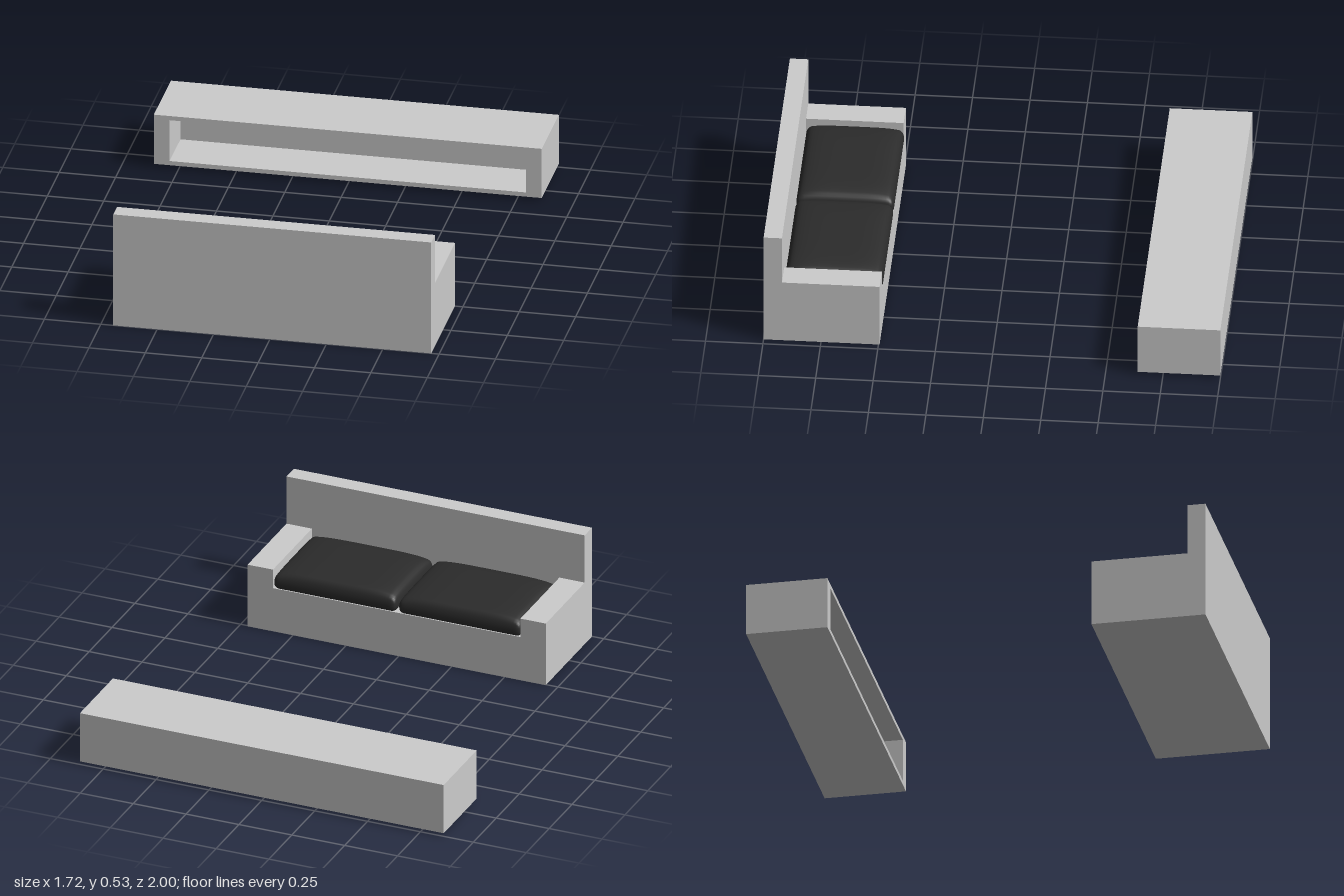
import * as THREE from 'three';
import { mergeVertices } from 'three/addons/utils/BufferGeometryUtils.js';

const grey = new THREE.MeshStandardMaterial({ color: 0xcccccc });
const dark = new THREE.MeshStandardMaterial({ color: 0x2b2b2b });

const polygon = (Type, pts) => new Type(pts.map(([x, y]) => new THREE.Vector2(x, y)));
const rect = (Type, x0, y0, x1, y1) => polygon(Type, [[x0, y0], [x1, y0], [x1, y1], [x0, y1]]);

function mesh(name, geometry, material = grey) {
  const m = new THREE.Mesh(geometry, material);
  m.name = name;
  return m;
}

// One slice of the sofa between x0 and x1: an L profile with its low side at height h
function sofaSection(name, x0, x1, h) {
  const profile = polygon(THREE.Shape, [[0.495, 0], [1, 0], [1, 0.53], [0.92, 0.53], [0.92, h], [0.495, h]]);
  const g = new THREE.ExtrudeGeometry(profile, { depth: x1 - x0, bevelEnabled: false });
  g.rotateY(-Math.PI / 2).translate(x1, 0, 0);
  return mesh(name, g);
}

// Padded cushion: a rounded block whose top swells towards the middle
function cushion(name, x0, x1) {
  const half = new THREE.Vector3((x1 - x0) / 2, 0.03, 0.213);
  const r = 0.025;
  const inner = half.clone().subScalar(r);
  const g = new THREE.BoxGeometry(2, 2, 2, 28, 8, 24);
  g.deleteAttribute('uv');
  g.deleteAttribute('normal');
  const pos = g.attributes.position;
  const ease = (t) => Math.sign(t) * (1 - (1 - Math.abs(t)) ** 2);
  const p = new THREE.Vector3(), core = new THREE.Vector3();
  for (let i = 0; i < pos.count; i++) {
    p.fromBufferAttribute(pos, i);
    p.set(ease(p.x), ease(p.y), ease(p.z)).multiply(half);
    core.copy(p).clamp(inner.clone().negate(), inner);
    p.sub(core).setLength(r).add(core);
    const u = p.x / half.x, w = p.z / half.z;
    const swell = Math.sqrt(Math.max(0, (1 - u ** 4) * (1 - w ** 4)));
    if (p.y > 0) p.y += 0.04 * swell * (p.y / half.y);
    pos.setXYZ(i, p.x, p.y, p.z);
  }
  const smooth = mergeVertices(g, 1e-5);
  smooth.computeVertexNormals();
  smooth.translate((x0 + x1) / 2, 0.235, 0.704);
  return mesh(name, smooth, dark);
}

export function createModel() {
  const model = new THREE.Group();
  model.name = 'sofaAndConsole';

  // Sofa with its back to +z
  const sofa = new THREE.Group();
  sofa.name = 'sofa';
  sofa.add(
    sofaSection('rightArm', -0.695, -0.575, 0.3),
    sofaSection('seatAndBack', -0.575, 0.595, 0.21),
    sofaSection('leftArm', 0.595, 0.715, 0.3),
    cushion('rightCushion', -0.575, 0.005),
    cushion('leftCushion', 0.015, 0.595)
  );

  // Low console with one long open shelf facing the sofa
  const consoleUnit = new THREE.Group();
  consoleUnit.name = 'console';
  const frame = rect(THREE.Shape, -0.86, 0.015, 0.86, 0.25);
  frame.holes.push(rect(THREE.Path, -0.79, 0.035, 0.79, 0.23));
  const frameGeo = new THREE.ExtrudeGeometry(frame, { depth: 0.23, bevelEnabled: false });
  frameGeo.translate(0, 0, -0.87);
  const backGeo = new THREE.BoxGeometry(1.72, 0.235, 0.13);
  backGeo.translate(0, 0.1325, -0.935);
  consoleUnit.add(mesh('consoleFrame', frameGeo), mesh('consoleBack', backGeo));

  model.add(sofa, consoleUnit);
  return model;
}
